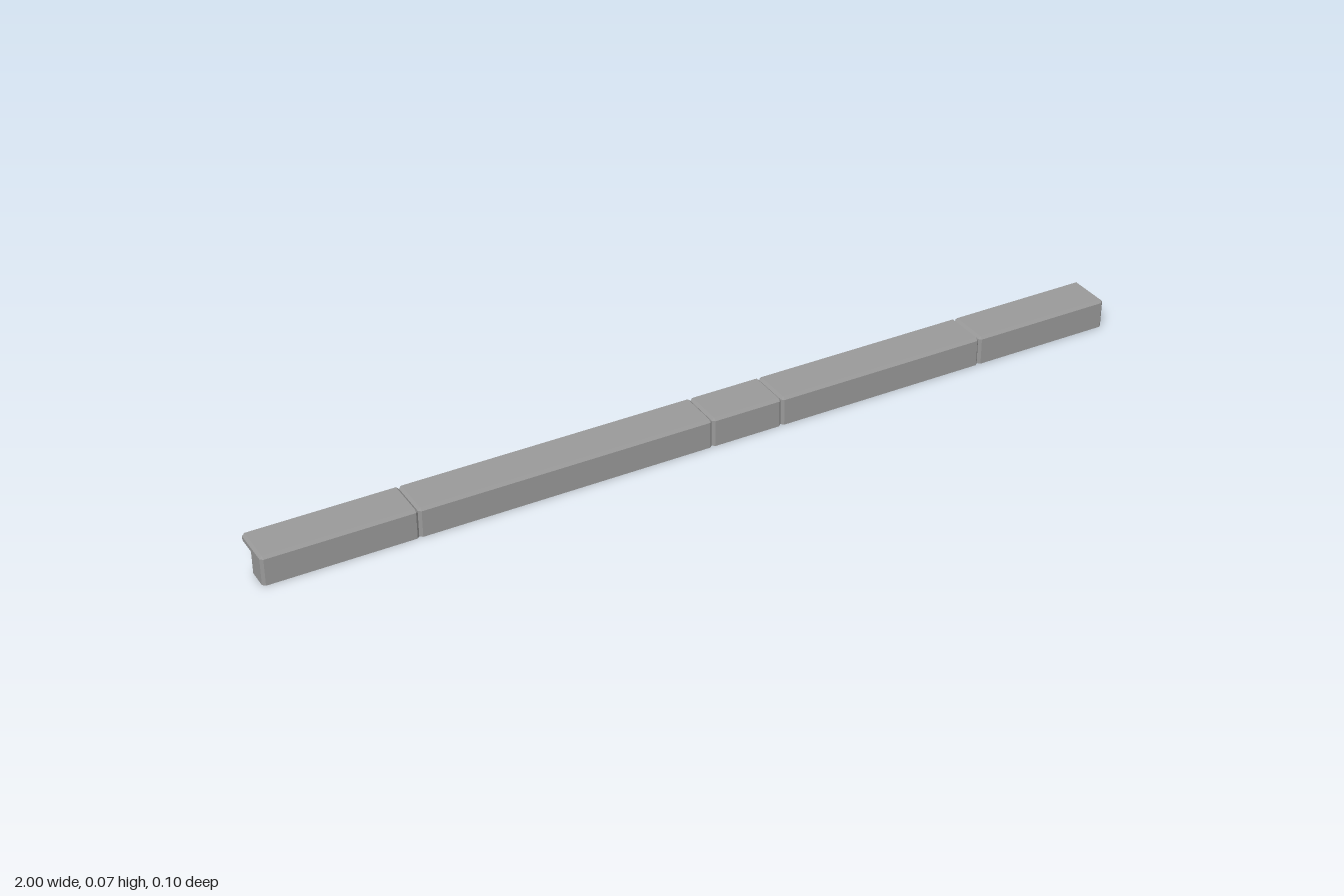
import * as THREE from 'three';

const HALF_DEPTH = 0.0505, HEIGHT = 0.067, LEDGE_Y = 0.0515, BEVEL = 0.006;
const IN_Z = HALF_DEPTH - BEVEL, IN_Y = HEIGHT - BEVEL;

// L-shaped cross-section as [z, y]: front face, bevelled top, rear ledge, inner back
const PROFILE = [
  [HALF_DEPTH, 0], [HALF_DEPTH, IN_Y], [IN_Z, HEIGHT], [-IN_Z, HEIGHT],
  [-HALF_DEPTH, IN_Y], [-HALF_DEPTH, LEDGE_Y], [0, LEDGE_Y], [0, 0],
];

// One edging block from x0 to x1, with its ends drawn in to form the bevels
function blockGeometry(x0, x1) {
  const section = (x, inset) => PROFILE.map(([z, y]) => inset
    ? new THREE.Vector3(x, Math.min(y, IN_Y), THREE.MathUtils.clamp(z, -IN_Z, IN_Z))
    : new THREE.Vector3(x, y, z));
  const rings = [section(x0, true), section(x0 + BEVEL, false), section(x1 - BEVEL, false), section(x1, true)];
  const positions = [];
  const triangle = (a, b, c) => {
    if (a.equals(b) || b.equals(c) || c.equals(a)) return; // collapsed corner
    for (const p of [a, b, c]) positions.push(p.x, p.y, p.z);
  };

  // Side walls
  const n = PROFILE.length;
  for (let r = 0; r < 3; r++) {
    const a = rings[r], b = rings[r + 1];
    for (let i = 0; i < n; i++) {
      const j = (i + 1) % n;
      triangle(a[i], b[i], b[j]);
      triangle(a[i], b[j], a[j]);
    }
  }

  // End faces, fanned from the inner corner
  for (const [i, j] of [[7, 0], [0, 1], [1, 3], [3, 5]]) {
    triangle(rings[0][6], rings[0][i], rings[0][j]);
    triangle(rings[3][6], rings[3][j], rings[3][i]);
  }

  const geometry = new THREE.BufferGeometry();
  geometry.setAttribute('position', new THREE.Float32BufferAttribute(positions, 3));
  geometry.computeVertexNormals();
  return geometry;
}

export function createModel() {
  const model = new THREE.Group();
  model.name = 'edging';
  const material = new THREE.MeshStandardMaterial({ color: 0x999999, flatShading: true });

  // Row of blocks of uneven length, set end to end
  const joints = [-1, -0.667, 0, 0.167, 0.667, 1];
  for (let i = 0; i < joints.length - 1; i++) {
    const block = new THREE.Mesh(blockGeometry(joints[i], joints[i + 1]), material);
    block.name = `edgingBlock${i + 1}`;
    model.add(block);
  }
  return model;
}
